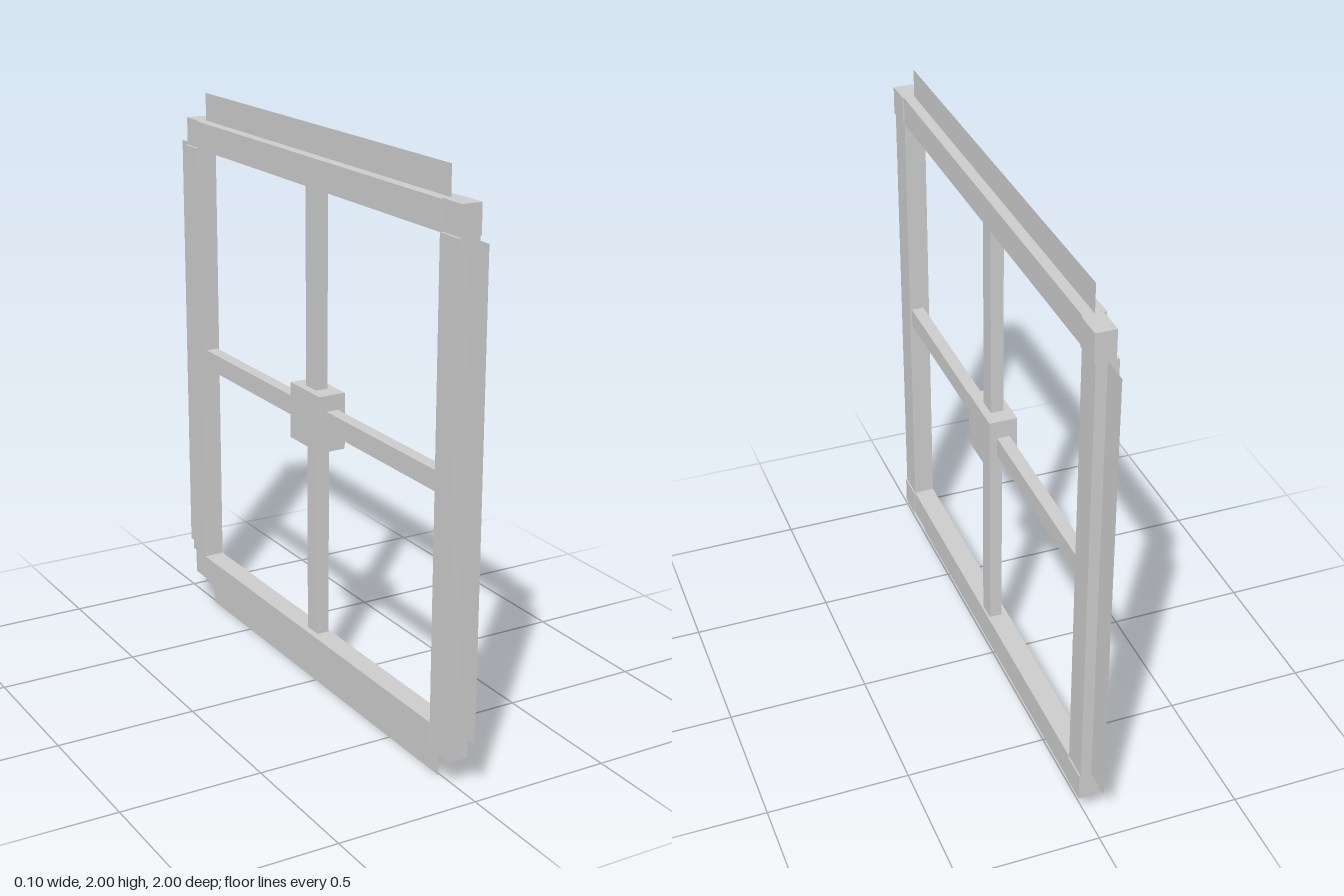
import * as THREE from 'three';

export function createModel() {
  const model = new THREE.Group();
  model.name = 'windowFrame';
  const material = new THREE.MeshStandardMaterial({ color: 0xcccccc, flatShading: true });
  const thinMaterial = new THREE.MeshStandardMaterial({ color: 0xcccccc, side: THREE.DoubleSide });

  const box = (name, size, position) => {
    const mesh = new THREE.Mesh(new THREE.BoxGeometry(...size), material);
    mesh.name = name;
    mesh.position.set(...position);
    model.add(mesh);
  };

  // Paper-thin flange lying in the plane of the frame
  const flange = (name, depth, height, y, z) => {
    const mesh = new THREE.Mesh(new THREE.PlaneGeometry(depth, height), thinMaterial);
    mesh.name = name;
    mesh.rotation.y = Math.PI / 2;
    mesh.position.set(beamX, y, z);
    model.add(mesh);
  };

  const mid = 1;          // height of the frame's centre
  const beamX = -0.0075;  // beams sit slightly off the corner blocks
  const beamT = 0.075;

  for (const s of [-1, 1]) {
    const level = s > 0 ? 'top' : 'bottom';
    const end = s > 0 ? 'front' : 'back';

    // Outer beams
    box(level + 'Beam', [beamT, 0.1, 1.6], [beamX, mid + s * 0.85, 0]);
    box(end + 'Beam', [beamT, 1.6, 0.1], [beamX, mid, s * 0.85]);

    // Flanges outside the beams
    flange(level + 'Flange', 1.6, 0.1, mid + s * 0.95, 0);
    flange(end + 'Flange', 0.1, 1.6, mid, s * 0.95);

    // Corner blocks
    for (const t of [-1, 1]) {
      box('cornerBlock', [0.07, 0.1, 0.1], [0, mid + s * 0.85, t * 0.85]);
    }

    // Glazing bars, each a little off the centre line
    box(level + 'Bar', [0.045, 0.7, 0.07], [0, mid + s * 0.45, s * -0.005]);
    box(end + 'Bar', [0.045, 0.07, 0.7], [0, s > 0 ? 1.009 : 0.999, s * 0.45]);
  }

  // Central block joining the bars
  box('centreBlock', [0.1, 0.2, 0.2], [0, mid, 0]);

  return model;
}
